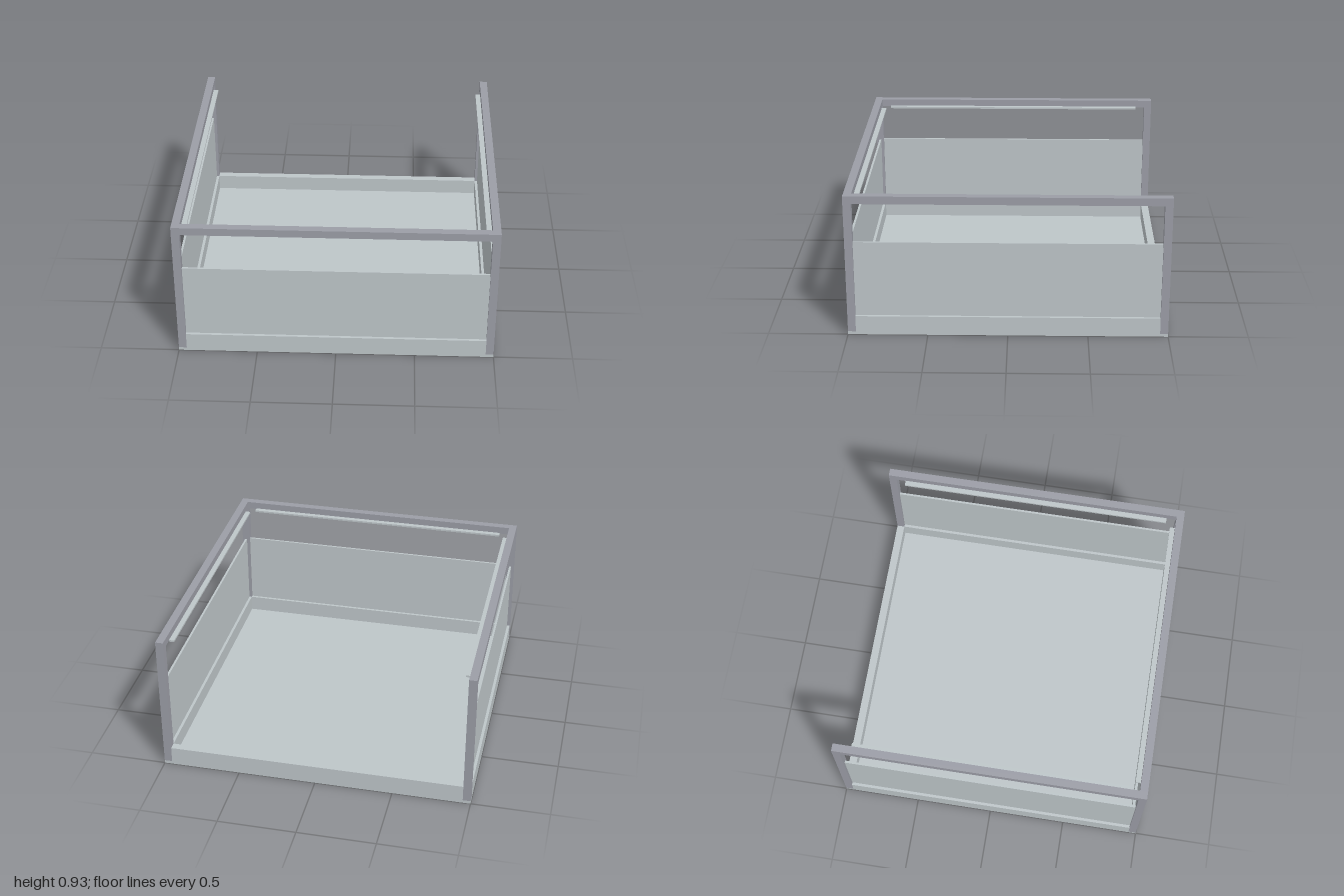
import * as THREE from 'three';

export function createModel() {
  const model = new THREE.Group();
  const paleGrey = new THREE.MeshStandardMaterial({ name: 'pale grey', color: 0xbdc5c8 });
  const frameGrey = new THREE.MeshStandardMaterial({ name: 'frame grey', color: 0x9b9da6 });

  // Axis-aligned box given by its minimum and maximum corners
  function box(name, material, [x0, y0, z0], [x1, y1, z1], parent = model) {
    const mesh = new THREE.Mesh(new THREE.BoxGeometry(x1 - x0, y1 - y0, z1 - z0), material);
    mesh.position.set((x0 + x1) / 2, (y0 + y1) / 2, (z0 + z1) / 2);
    mesh.name = name;
    parent.add(mesh);
  }

  const H = 0.925;        // total height
  const T = 0.05;         // beam thickness
  const I = 1 - T;        // inner face of the frame
  const FLOOR = 0.02, RIM = 0.125, PANEL = 0.618;

  // Tray floor
  box('floor', paleGrey, [-1, 0, -1], [1, FLOOR, 1]);

  // Corner posts
  for (const x of [-1, I]) {
    for (const z of [-1, I]) {
      box('cornerPost', frameGrey, [x, FLOOR, z], [x + T, H - T, z + T]);
    }
  }

  // Each side is built facing +z, then turned into place; the back stays open
  const sides = [
    { name: 'front', turn: 0 },
    { name: 'left', turn: Math.PI / 2 },
    { name: 'back', turn: Math.PI, open: true },
    { name: 'right', turn: -Math.PI / 2 },
  ];
  for (const { name, turn, open } of sides) {
    const side = new THREE.Group();
    side.name = name + 'Side';
    side.rotation.y = turn;
    model.add(side);
    box('trayRim', paleGrey, [-I, FLOOR, I], [I, RIM, 1], side);
    if (open) continue;
    box('wallPanel', paleGrey, [-I, RIM, 0.968], [I, PANEL, 0.982], side);
    box('lightStrip', paleGrey, [-0.887, 0.868, 0.917], [0.887, 0.88, I], side);
    // Side rails run full length, the front rail fits between them
    const end = name === 'front' ? I : 1;
    box('topRail', frameGrey, [-end, H - T, I], [end, H, 1], side);
  }
  return model;
}
